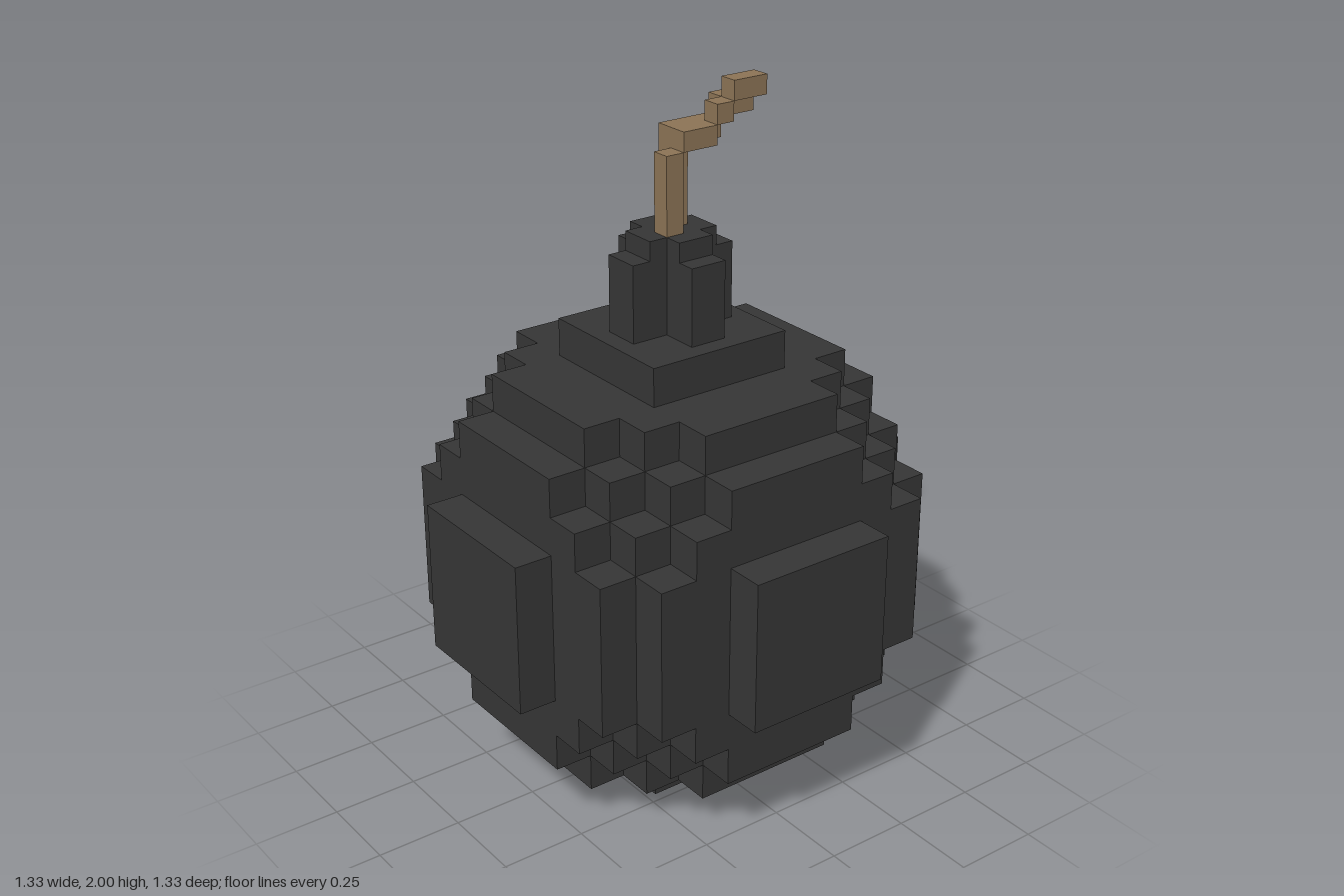
import * as THREE from 'three';

const U = 1 / 9;   // ball voxel
const V = U / 2;   // neck and fuse voxel
const TOP = 12 * U; // top of the ball

const iron = new THREE.MeshStandardMaterial({ color: 0x353535 });
iron.name = 'dark iron';
const cord = new THREE.MeshStandardMaterial({ color: 0x8b7355 });
cord.name = 'brown cord';

// Box between two corners given in small voxels above the ball
function block(parent, name, material, [x0, y0, z0], [x1, y1, z1]) {
  const mesh = new THREE.Mesh(
    new THREE.BoxGeometry((x1 - x0) * V, (y1 - y0) * V, (z1 - z0) * V), material);
  mesh.position.set((x0 + x1) / 2 * V, TOP + (y0 + y1) / 2 * V, (z0 + z1) / 2 * V);
  mesh.name = name;
  parent.add(mesh);
}

function part(root, name) {
  const group = new THREE.Group();
  group.name = name;
  root.add(group);
  return group;
}

export function createModel() {
  const root = new THREE.Group();
  root.name = 'bomb';

  // Stepped ball: union of centred boxes, every axis order of each half size
  const ball = part(root, 'ball');
  const halves = [
    [6, 2, 2], [2, 6, 2], [2, 2, 6],
    [5, 4, 2], [5, 2, 4], [4, 5, 2], [2, 5, 4], [4, 2, 5], [2, 4, 5],
    [5, 3, 3], [3, 5, 3], [3, 3, 5],
    [4, 4, 3], [4, 3, 4], [3, 4, 4],
  ];
  for (const [a, b, c] of halves) {
    const mesh = new THREE.Mesh(new THREE.BoxGeometry(2 * a * U, 2 * b * U, 2 * c * U), iron);
    mesh.position.y = 6 * U;
    mesh.name = 'ballStep';
    ball.add(mesh);
  }

  // Cross-shaped neck with lower arm ends
  const neck = part(root, 'neck');
  for (const [reach, height] of [[3, 4], [2, 5]]) {
    block(neck, 'neckArmX', iron, [-reach, 0, -1], [reach, height, 1]);
    block(neck, 'neckArmZ', iron, [-1, 0, -reach], [1, height, reach]);
  }

  // Twisted fuse: two diagonal strands that step up towards the back
  const fuse = part(root, 'fuse');
  const strands = [
    [[0, 5, 0], [1, 9, 1]],
    [[-1, 5, -1], [0, 9, 0]],
    [[0, 9, -2], [1, 10, 0]],
    [[-1, 9, -3], [0, 10, 0]],
    [[0, 10, -3], [1, 11, -2]],
    [[-1, 10, -5], [0, 11, -3]],
    [[0, 11, -5], [1, 12, -3]],
  ];
  for (const [from, to] of strands) block(fuse, 'fuseStrand', cord, from, to);

  return root;
}
